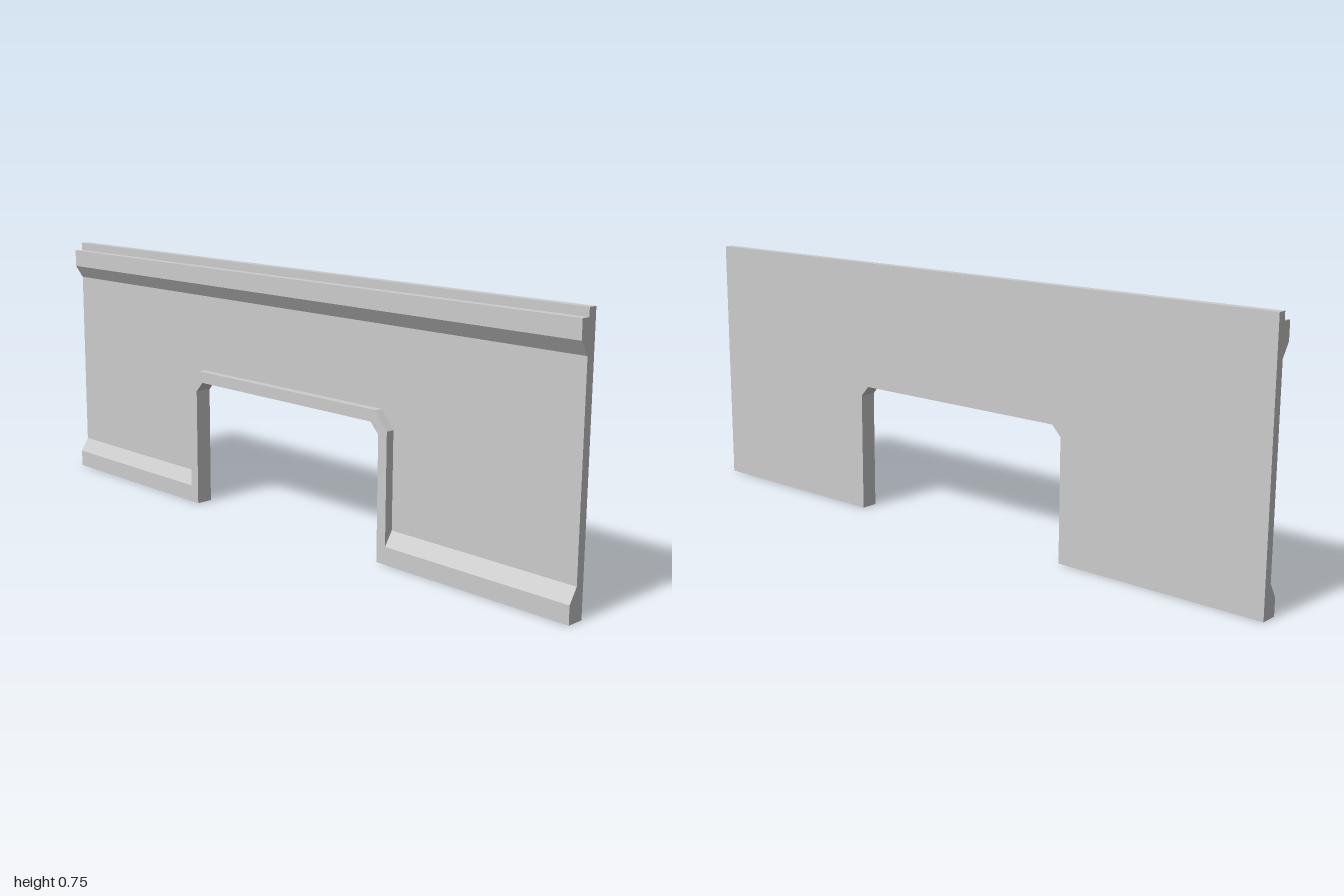
import * as THREE from 'three';

const DEPTH = 0.025;

// Closed outline from [x, y] points
function outline(points) {
  return new THREE.Shape(points.map(([x, y]) => new THREE.Vector2(x, y)));
}

// Chamfered doorway arch, running from the right foot over the top to the left foot
function arch(halfWidth, height, chamferX, chamferY) {
  const side = [[halfWidth, 0], [halfWidth, height - chamferY], [halfWidth - chamferX, height]];
  return [...side, ...side.map(([x, y]) => [-x, y]).reverse()];
}

export function createModel() {
  const group = new THREE.Group();
  group.name = 'wallPanel';
  const material = new THREE.MeshStandardMaterial({ color: 0xcccccc, flatShading: true });

  function add(name, geometry) {
    const mesh = new THREE.Mesh(geometry, material);
    mesh.name = name;
    group.add(mesh);
  }

  // Moulding with a [z, y] profile, swept along x
  function addMoulding(name, profile, x0, x1) {
    const shape = outline(profile.map(([z, y]) => [-z, y]));
    const geometry = new THREE.ExtrudeGeometry(shape, { depth: x1 - x0, bevelEnabled: false });
    geometry.rotateY(Math.PI / 2).translate(x0, 0, 0);
    add(name, geometry);
  }

  const inner = arch(0.377, 0.38, 0.028, 0.03);
  const outer = arch(0.408, 0.413, 0.043, 0.05);

  // Wall slab with the doorway cut out of its lower edge
  const wall = outline([[1, 0], [1, 0.75], [-1, 0.75], [-1, 0], ...[...inner].reverse()]);
  add('wall', new THREE.ExtrudeGeometry(wall, { depth: DEPTH, bevelEnabled: false })
    .translate(0, 0, -DEPTH));

  // Raised trim around the doorway
  const trim = outline([...outer, ...[...inner].reverse()]);
  add('doorTrim', new THREE.ExtrudeGeometry(trim, { depth: DEPTH, bevelEnabled: false }));

  // Top moulding, sloping back to the wall on its underside
  addMoulding('topMoulding',
    [[0, 0.638], [DEPTH, 0.676], [DEPTH, 0.727], [0, 0.727]], -1, 1);

  // Skirting on both sides of the doorway
  const skirting = [[0, 0], [DEPTH, 0], [DEPTH, 0.05], [0, 0.09]];
  addMoulding('leftSkirting', skirting, 0.408, 1);
  addMoulding('rightSkirting', skirting, -1, -0.408);

  return group;
}
